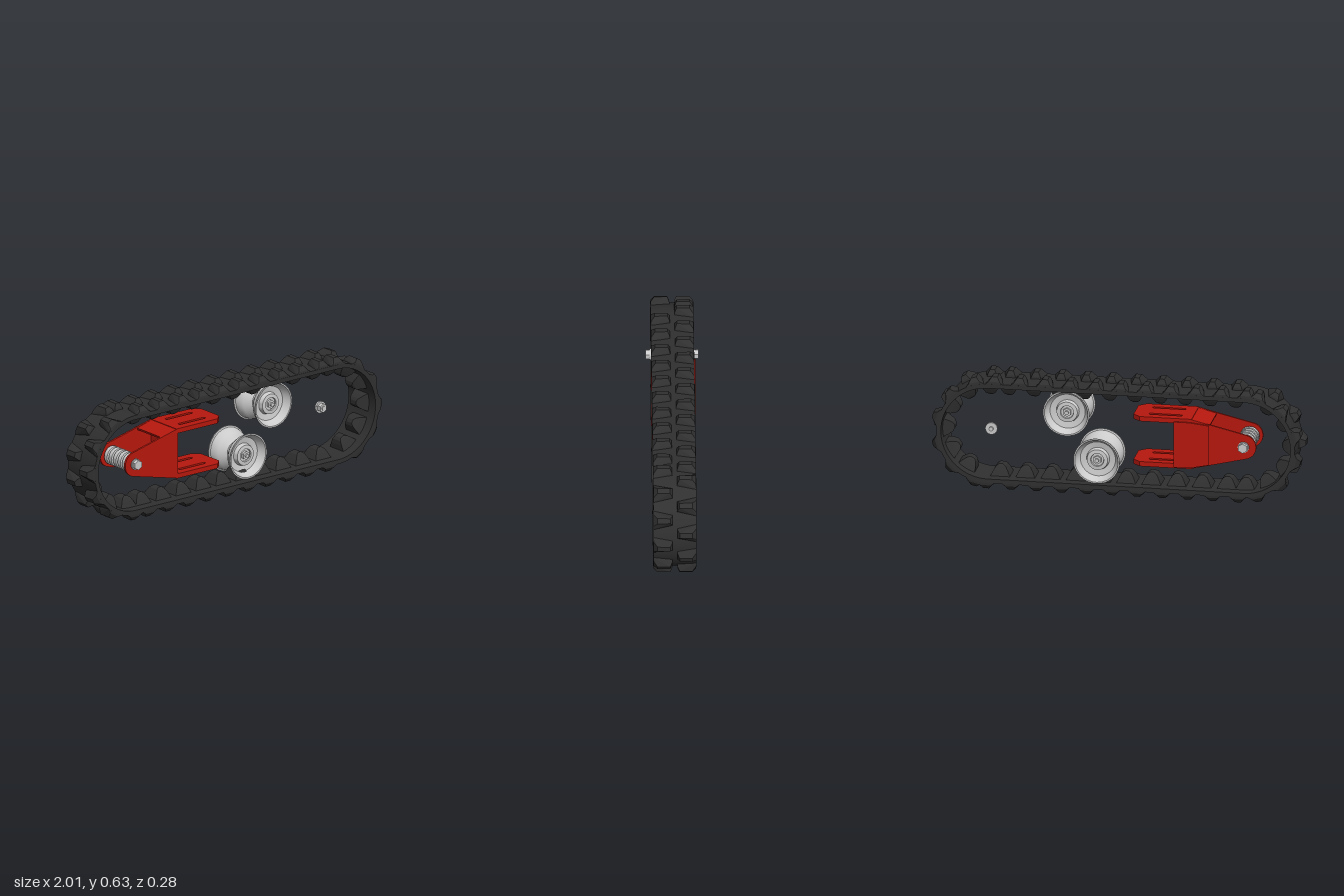
import * as THREE from 'three';
import { toCreasedNormals } from 'three/addons/utils/BufferGeometryUtils.js';
import { ConvexGeometry } from 'three/addons/geometries/ConvexGeometry.js';

const CX = 0.69, CY = 0.314;          // end-arc centres
const R_OUT = 0.278, R_IN = 0.254;    // belt outer and inner radius
const HALF_W = 0.115;                 // half belt width

const rubber = new THREE.MeshStandardMaterial({ color: 0x303030 });
const red = new THREE.MeshStandardMaterial({ color: 0xb8180e });
const grey = new THREE.MeshStandardMaterial({ color: 0xcccccc });

function add(parent, name, geometry, material, x = 0, y = 0, z = 0) {
  const mesh = new THREE.Mesh(geometry, material);
  mesh.name = name;
  mesh.position.set(x, y, z);
  parent.add(mesh);
  return mesh;
}

const extrude = (shape, depth) => toCreasedNormals(
  new THREE.ExtrudeGeometry(shape, { depth, bevelEnabled: false, curveSegments: 20 }), 0.5);

const polygon = (pts) => new THREE.Shape(pts.map(([x, y]) => new THREE.Vector2(x, y)));

// Solid of revolution around z, from a profile of [radius, z] with z rising
function turned(profile, segments = 40) {
  const g = new THREE.LatheGeometry(profile.map(([r, z]) => new THREE.Vector2(r, z)), segments);
  return toCreasedNormals(g.rotateX(Math.PI / 2), 0.5);
}

const rod = (r, length, sides) =>
  toCreasedNormals(new THREE.CylinderGeometry(r, r, length, sides).rotateX(Math.PI / 2), 0.6);

function stadium(r, Type) {
  const s = new Type();
  s.absarc(CX, CY, r, -Math.PI / 2, Math.PI / 2, false);
  s.absarc(-CX, CY, r, Math.PI / 2, Math.PI * 1.5, false);
  s.closePath();
  return s;
}

// Convex block from rectangles [halfLength at zA, halfLength at zB, height, zA, zB]
function block(levels) {
  const pts = [];
  for (const [la, lb, h, za, zb] of levels)
    for (const s of [-1, 1])
      pts.push(new THREE.Vector3(s * la, h, za), new THREE.Vector3(s * lb, h, zb));
  return new ConvexGeometry(pts);
}

// Positions around the belt: straight runs plus end arcs, repeated half a turn round
function beltStations(x0, count, angles) {
  const half = [];
  for (let k = 0; k < count; k++) half.push({ x: x0 + 0.136 * k, y: CY, a: 0 });
  for (const d of angles) half.push({ x: CX, y: CY, a: THREE.MathUtils.degToRad(d - 90) });
  return [...half, ...half.map((p) => ({ x: -p.x, y: p.y, a: p.a + Math.PI }))];
}

function createTrack() {
  const track = new THREE.Group();
  track.name = 'track';
  const shape = stadium(R_OUT, THREE.Shape);
  shape.holes.push(stadium(R_IN, THREE.Path));
  add(track, 'belt', extrude(shape, 2 * HALF_W), rubber, 0, 0, -HALF_W);

  // Tread lugs in two staggered rows, and drive teeth on the inside
  const lug = (s) => block([
    [0.028, 0.05, R_OUT - 0.004, s * 0.012, s * HALF_W],
    [0.024, 0.03, R_OUT + 0.012, s * 0.014, s * 0.113],
    [0.013, 0.015, R_OUT + 0.035, s * 0.025, s * 0.093],
  ]);
  const tooth = block([
    [0.054, 0.054, R_IN + 0.004, -0.06, 0.06],
    [0.038, 0.038, R_IN - 0.03, -0.045, 0.045],
    [0.025, 0.025, R_IN - 0.051, -0.034, 0.034],
    [0.01, 0.01, R_IN - 0.06, -0.025, 0.025],
  ]);
  const frontRow = beltStations(-0.634, 10, [90, 60, 30, 0, -30, -60]);
  const backRow = beltStations(-0.703, 11, [75, 45, 15, -15, -45, -75]);
  const spread = (name, geometry, stations) => {
    for (const p of stations) add(track, name, geometry, rubber, p.x, p.y).rotation.z = p.a;
  };
  spread('frontLug', lug(1), frontRow);
  spread('backLug', lug(-1), backRow);
  spread('driveTooth', tooth, frontRow);
  return track;
}

function createWheel(x, y, z) {
  const wheel = new THREE.Group();
  wheel.name = 'roadWheel';
  wheel.position.set(x, y, z);
  // Half profile from the neck out over the rim and into the dished hub
  const half = [[0.06, 0.012], [0.075, 0.024], [0.1, 0.04], [0.113, 0.06], [0.117, 0.084],
    [0.125, 0.087], [0.125, 0.094], [0.117, 0.094], [0.108, 0.068], [0.095, 0.05],
    [0.062, 0.044], [0.056, 0.068], [0.036, 0.07], [0.034, 0.062], [0, 0.062]];
  const mirrored = half.map(([r, h]) => [r, -h]).reverse();
  add(wheel, 'spool', turned([...mirrored, ...half]), grey);
  add(wheel, 'axleNut', rod(0.024, 0.15, 6), grey);
  add(wheel, 'axle', rod(0.011, 0.172, 16), grey);
  return wheel;
}

function createFrame() {
  const frame = new THREE.Group();
  frame.name = 'tensionFrame';
  const yb = 0.318;

  // Tapered cheek plates with rounded noses
  const cheek = new THREE.Shape();
  cheek.moveTo(-0.4, 0.179);
  cheek.lineTo(-0.4, 0.457);
  cheek.absarc(-CX, yb, 0.068, Math.PI / 2 + 0.245, Math.PI * 1.5 - 0.245, false);
  cheek.closePath();
  const cheekGeo = extrude(cheek, 0.012);
  add(frame, 'frontCheek', cheekGeo, red, 0, 0, 0.1);
  add(frame, 'backCheek', cheekGeo, red, 0, 0, -0.112);
  const cover = polygon([[-0.505, 0.208], [-0.4, 0.187], [-0.315, 0.187],
    [-0.315, 0.44], [-0.4, 0.44], [-0.505, 0.428]]);
  add(frame, 'backCover', extrude(cover, 0.012), red, 0, 0, -0.122);

  // Cross web and sloping closing plates
  add(frame, 'crossWeb', new THREE.BoxGeometry(0.014, 0.26, 0.212), red, -0.407, yb, 0);
  for (const s of [-1, 1]) {
    const slope = add(frame, 'slopePlate', new THREE.BoxGeometry(0.11, 0.012, 0.212), red,
      -0.453, yb + s * 0.1185, 0);
    slope.rotation.z = s * 0.26;
  }

  // Slotted arms with chamfered tips
  const arm = polygon([[-0.41, -0.112], [-0.13, -0.112], [-0.09, -0.075],
    [-0.09, 0.075], [-0.13, 0.112], [-0.41, 0.112]]);
  for (const z of [-0.055, 0.055]) {
    const slot = new THREE.Path();
    slot.absarc(-0.18, z, 0.01, -Math.PI / 2, Math.PI / 2, false);
    slot.absarc(-0.34, z, 0.01, Math.PI / 2, Math.PI * 1.5, false);
    slot.closePath();
    arm.holes.push(slot);
  }
  const armGeo = extrude(arm, 0.026).rotateX(Math.PI / 2);
  add(frame, 'upperArm', armGeo, red, 0, 0.457, 0);
  add(frame, 'lowerArm', armGeo, red, 0, 0.205, 0);

  // Grooved nose roller on its bolt
  const ridges = [[0, -0.095]];
  for (let i = 0; i < 5; i++) {
    const z = -0.095 + i * 0.038;
    ridges.push([0.052, z], [0.052, z + 0.024], [0.036, z + 0.027], [0.036, z + 0.035]);
  }
  ridges.length -= 2;
  ridges.push([0, 0.081]);
  add(frame, 'noseRoller', turned(ridges), grey, -CX, yb, 0.007);
  add(frame, 'noseBolt', rod(0.013, 0.28, 16), grey, -CX, yb, 0);
  for (const s of [-1, 1]) {
    add(frame, 'noseWasher', rod(0.03, 0.008, 24), grey, -CX, yb, s * 0.115);
    add(frame, 'noseNut', rod(0.027, 0.022, 6), grey, -CX, yb, s * 0.129);
  }
  return frame;
}

export function createModel() {
  const model = new THREE.Group();
  model.name = 'trackAssembly';
  model.add(createTrack(), createFrame());
  model.add(createWheel(0.105, 0.19, -0.012), createWheel(0.27, 0.445, -0.004));

  // Loose flanged bolt at the far end
  const bolt = new THREE.Group();
  bolt.name = 'looseBolt';
  bolt.position.set(0.685, 0.318, -0.025);
  add(bolt, 'boltFlange', rod(0.033, 0.012, 24), grey, 0, 0, -0.008);
  add(bolt, 'boltHead', rod(0.025, 0.03, 6), grey, 0, 0, 0.005);
  add(bolt, 'boltShank', rod(0.012, 0.05, 16), grey);
  model.add(bolt);
  return model;
}
